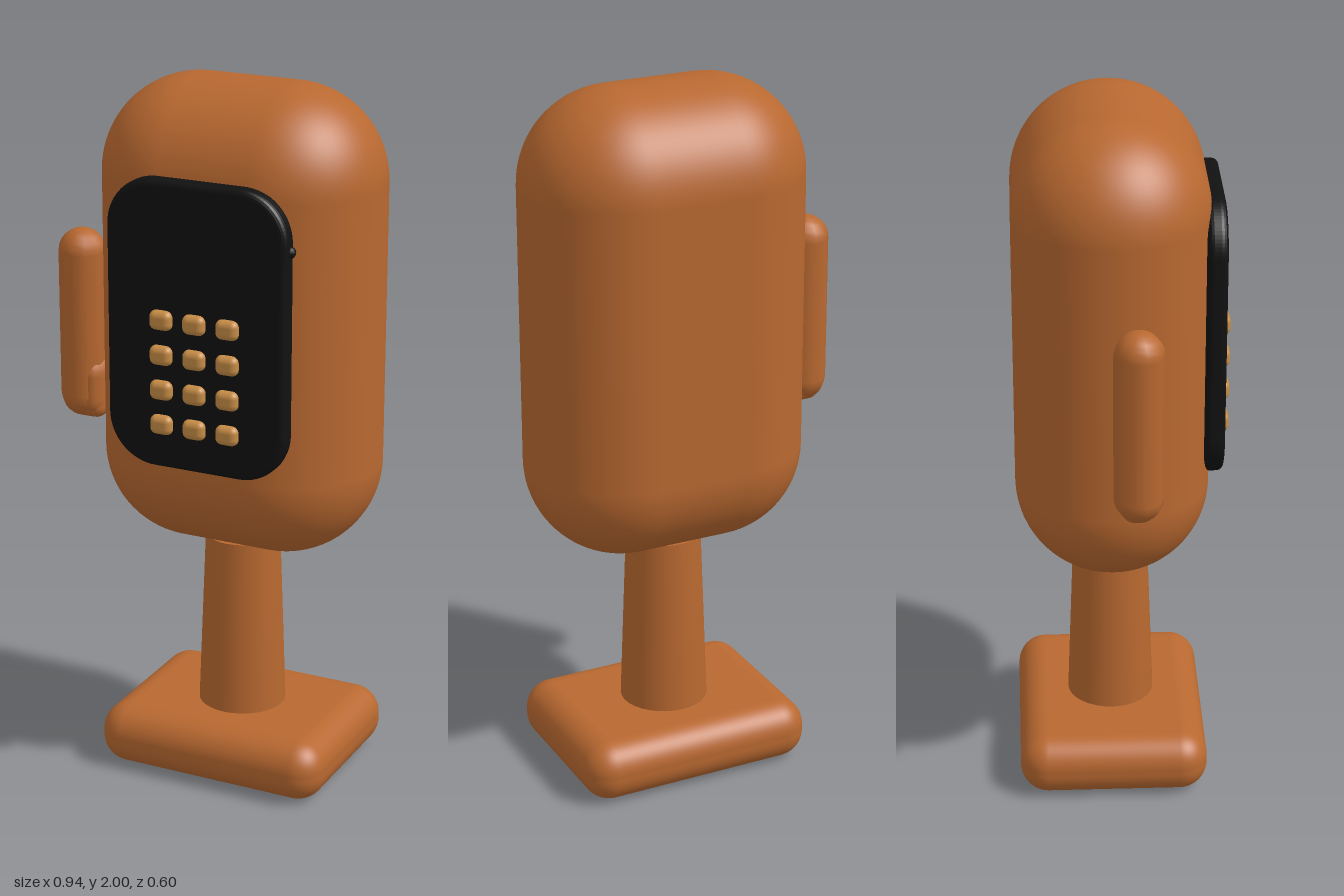
import * as THREE from 'three';
import { RoundedBoxGeometry } from 'three/addons/geometries/RoundedBoxGeometry.js';

const material = (color) => new THREE.MeshStandardMaterial({ color });

export function createModel() {
  const model = new THREE.Group();
  const brown = material(0xb86830);
  const tan = material(0xc68c46);
  const black = material(0x111111);

  const add = (name, geometry, mat, x, y, z) => {
    const mesh = new THREE.Mesh(geometry, mat);
    mesh.name = name;
    mesh.position.set(x, y, z);
    model.add(mesh);
    return mesh;
  };
  const box = (w, h, d, r, seg = 4) => new RoundedBoxGeometry(w, h, d, seg, r);
  const axisX = 0.065, axisZ = -0.029;

  // Base, tapered stem and pill-shaped body
  add('base', box(0.69, 0.176, 0.538, 0.08, 6), brown, axisX, 0.088, axisZ);
  add('stem', new THREE.CylinderGeometry(0.106, 0.125, 0.52, 32), brown, axisX, 0.43, axisZ);
  add('body', box(0.802, 1.325, 0.538, 0.268, 10), brown, axisX, 1.3375, axisZ);

  // Face panel: rounded rectangle with a small bevel
  const bevel = 0.018, w = 0.53 / 2 - bevel, h = 0.805 / 2 - bevel, r = 0.12;
  const outline = new THREE.Shape();
  outline.absarc(w - r, h - r, r, 0, Math.PI / 2);
  outline.absarc(r - w, h - r, r, Math.PI / 2, Math.PI);
  outline.absarc(r - w, r - h, r, Math.PI, Math.PI * 1.5);
  outline.absarc(w - r, r - h, r, Math.PI * 1.5, Math.PI * 2);
  const panel = new THREE.ExtrudeGeometry(outline, {
    depth: 0.02, bevelSize: bevel, bevelThickness: bevel, bevelSegments: 4, curveSegments: 10,
  });
  add('facePanel', panel, black, axisX, 1.3725, 0.238);
  add('sideKnob', new THREE.SphereGeometry(0.017, 12, 8), black, 0.324, 1.615, 0.24);

  // Keypad: four rows of three
  for (let row = 0; row < 4; row++) {
    for (let col = 0; col < 3; col++) {
      add('key', box(0.066, 0.055, 0.045, 0.019), tan,
        axisX + (col - 1) * 0.098, 1.097 + row * 0.0985, 0.2745);
    }
  }

  // Handset on the right side, with its cradle joining the body
  const handset = add('handset', new THREE.CapsuleGeometry(0.068, 0.414, 6, 10), brown, -0.408, 1.265, 0.03);
  handset.rotation.y = Math.PI / 2;
  const cradle = add('cradle', new THREE.CapsuleGeometry(0.057, 0.07, 6, 12), brown, -0.37, 1.083, 0.028);
  cradle.scale.x = 0.7;
  add('cradleFoot', box(0.12, 0.08, 0.09, 0.035), brown, -0.392, 1.03, 0.028);

  return model;
}
